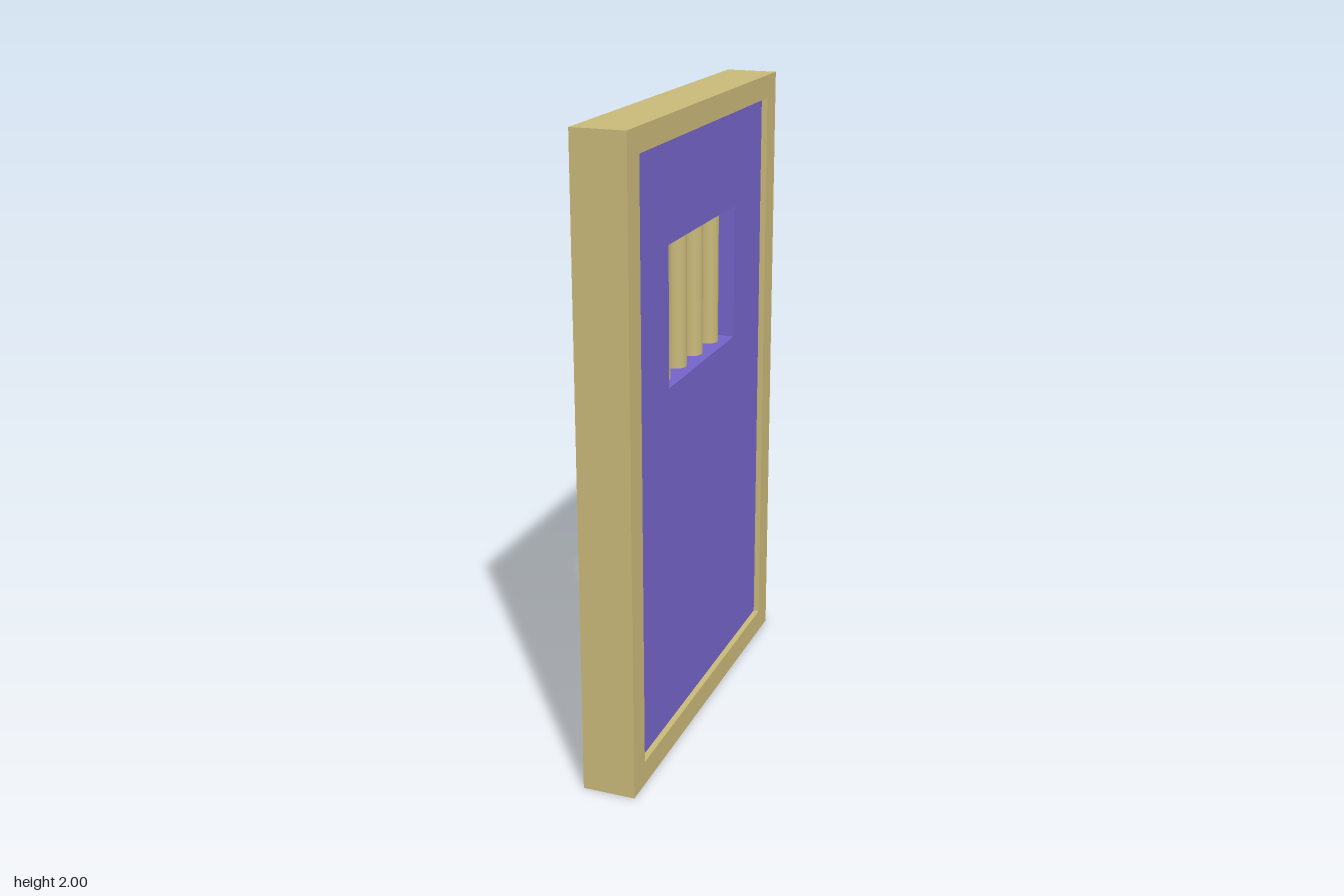
import * as THREE from 'three';

const wood = new THREE.MeshStandardMaterial({ color: 0xc8b878 });
const paint = new THREE.MeshStandardMaterial({ color: 0x7363c8 });

// Slab facing x with a rectangular opening; rectangles are [half width, bottom, top]
function slabWithOpening(name, outer, inner, thickness, material) {
  const corners = ([w, y0, y1]) => [[-w, y0], [w, y0], [w, y1], [-w, y1]].map(p => new THREE.Vector2(...p));
  const shape = new THREE.Shape(corners(outer));
  shape.holes.push(new THREE.Path(corners(inner)));
  const geometry = new THREE.ExtrudeGeometry(shape, { depth: thickness, bevelEnabled: false });
  geometry.translate(0, 0, -thickness / 2).rotateY(Math.PI / 2);
  const mesh = new THREE.Mesh(geometry, material);
  mesh.name = name;
  return mesh;
}

export function createModel() {
  const door = new THREE.Group();
  door.name = 'barredDoor';

  const outline = [0.634, 0, 2];
  const panelEdge = [0.549, 0.077, 1.926];
  const window = [0.289, 1.187, 1.62];

  // Border frame, and the panel recessed inside it on both sides
  door.add(slabWithOpening('frame', outline, panelEdge, 0.166, wood));
  door.add(slabWithOpening('panel', panelEdge, window, 0.128, paint));

  // Round bars standing in the window
  const bars = new THREE.Group();
  bars.name = 'windowBars';
  const barGeometry = new THREE.CylinderGeometry(0.0345, 0.0345, window[2] - window[1], 32);
  [0.207, 0.069, -0.071, -0.216].forEach((z, i) => {
    const bar = new THREE.Mesh(barGeometry, wood);
    bar.name = `bar${i + 1}`;
    bar.position.set(0, (window[1] + window[2]) / 2, z);
    bars.add(bar);
  });
  door.add(bars);

  return door;
}
